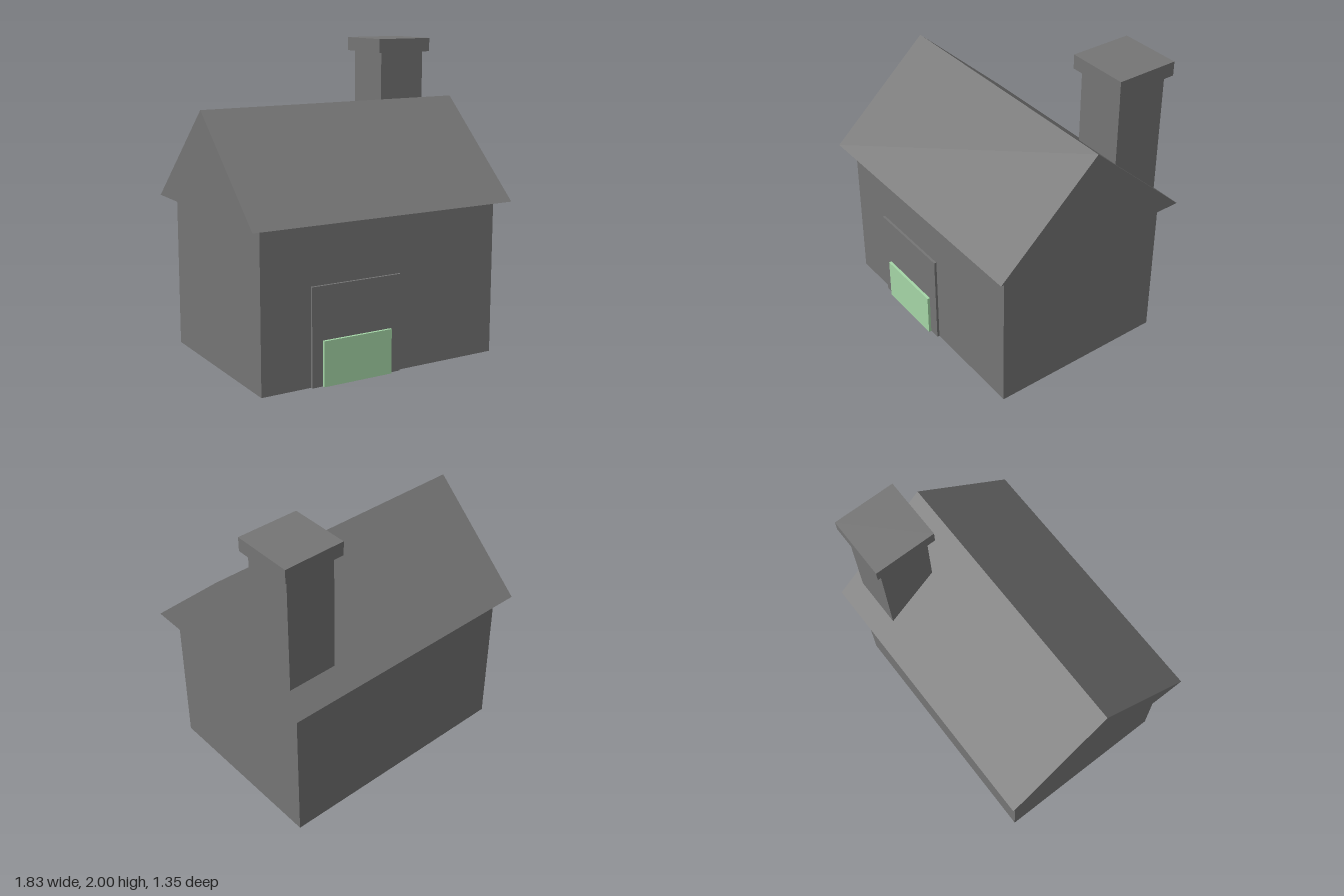
import * as THREE from 'three';

const material = (name, color) => {
  const m = new THREE.MeshStandardMaterial({ color });
  m.name = name;
  return m;
};

export function createModel() {
  const stone = material('stone grey', 0x757575);
  const green = material('door green', 0xa5d6a7);
  const house = new THREE.Group();
  house.name = 'house';

  // Box given by its extents along each axis
  const box = (name, mat, [x0, x1], [y0, y1], [z0, z1]) => {
    const mesh = new THREE.Mesh(new THREE.BoxGeometry(x1 - x0, y1 - y0, z1 - z0), mat);
    mesh.position.set((x0 + x1) / 2, (y0 + y1) / 2, (z0 + z1) / 2);
    mesh.name = name;
    house.add(mesh);
  };

  box('walls', stone, [-0.833, 0.833], [0, 1], [-0.597, 0.597]);

  // Gable roof: triangular section extruded along x, with a closed underside
  const roofLength = 1.83;
  const gable = new THREE.Shape([
    new THREE.Vector2(-0.677, 0),
    new THREE.Vector2(0.677, 0),
    new THREE.Vector2(0, 0.62),
  ]);
  const roofGeometry = new THREE.ExtrudeGeometry(gable, { depth: roofLength, bevelEnabled: false });
  roofGeometry.translate(0, 0, -roofLength / 2).rotateY(Math.PI / 2);
  const roof = new THREE.Mesh(roofGeometry, stone);
  roof.position.y = 1;
  roof.name = 'roof';
  house.add(roof);

  // Chimney on the back slope
  box('chimneyStack', stone, [0.5, 0.833], [1.05, 1.91], [-0.546, -0.212]);
  box('chimneyCap', stone, [0.463, 0.867], [1.91, 2], [-0.582, -0.178]);

  // Doorway panel with a low green door in front
  box('doorPanel', stone, [-0.503, 0.118], [0, 0.62], [0.59, 0.613]);
  box('door', green, [-0.43, 0.045], [0, 0.285], [0.613, 0.631]);

  return house;
}
